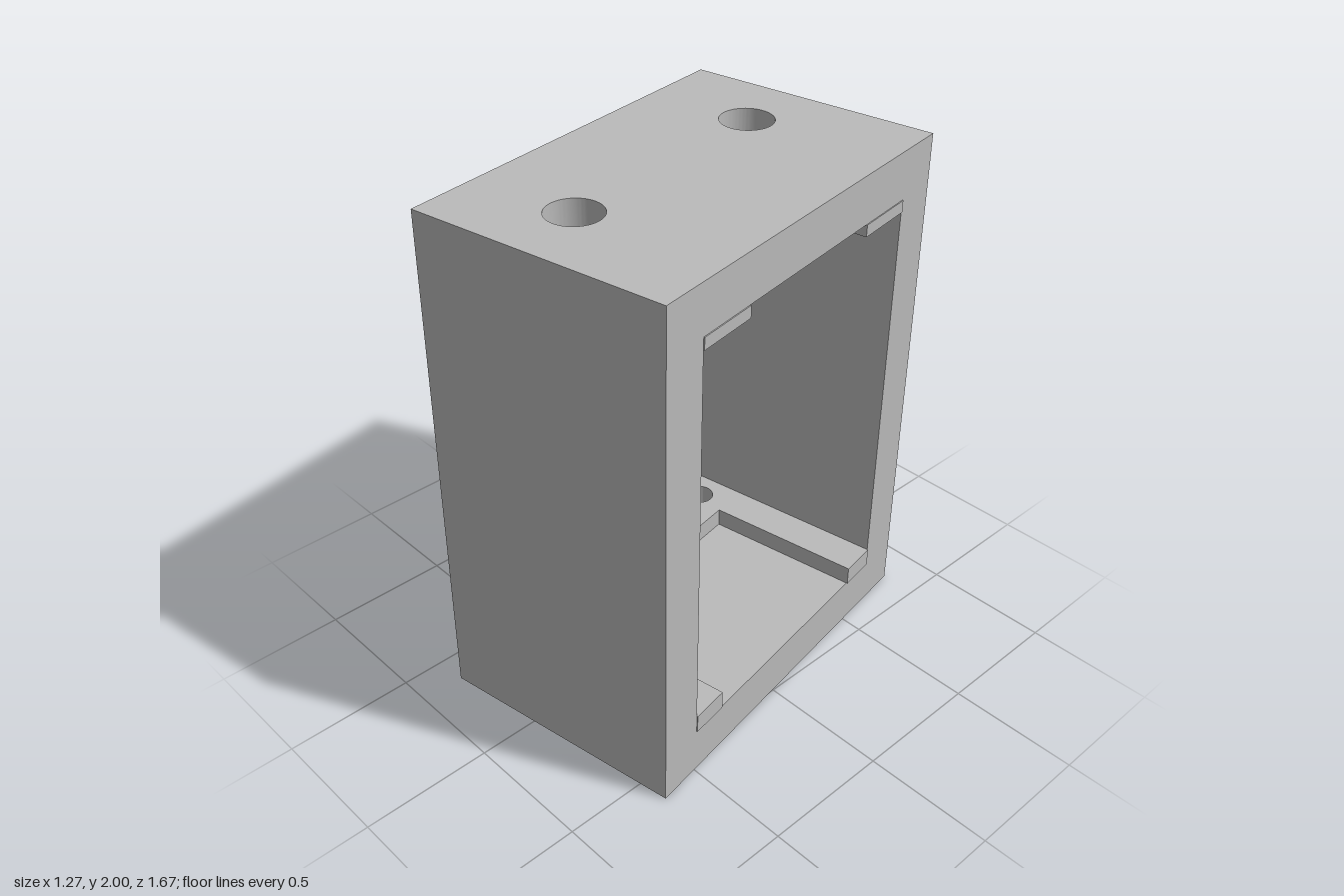
import * as THREE from 'three';
import { toCreasedNormals } from 'three/addons/utils/BufferGeometryUtils.js';

const HX = 0.4975, HY = 0.995, HZ = 0.76;      // half sizes of the housing
const IY = 0.81, IZ = 0.58, BACK = -0.375;     // cavity limits
const SCREW_Z = 0.468, TOP_X = -0.083, BOTTOM_X = -0.26;

export function createModel() {
  const model = new THREE.Group();
  model.name = 'housing';
  const grey = new THREE.MeshStandardMaterial({ color: 0xbababa });
  grey.name = 'grey';

  const body = new THREE.Group();
  body.name = 'body';
  body.position.set(0.0025, 1, 0);
  body.rotation.set(0, 0.171, -0.0095, 'YXZ');
  model.add(body);

  const add = (name, geometry) => {
    const mesh = new THREE.Mesh(geometry, grey);
    mesh.name = name;
    body.add(mesh);
  };

  // Extrude an outline with round holes given as [u, v, radius]
  const extrude = (shape, holes, depth) => {
    for (const [u, v, r] of holes) {
      const hole = new THREE.Path();
      hole.absarc(u, v, r, 0, Math.PI * 2, true);
      shape.holes.push(hole);
    }
    return new THREE.ExtrudeGeometry(shape, { depth, bevelEnabled: false, curveSegments: 48 });
  };
  const rect = (u0, u1, v0, v1) => new THREE.Shape([
    new THREE.Vector2(u0, v0), new THREE.Vector2(u1, v0),
    new THREE.Vector2(u1, v1), new THREE.Vector2(u0, v1)]);

  // Horizontal slab: outline in x and z, between two heights
  const slab = (name, x0, x1, z0, z1, y0, y1, holes = []) => add(name, toCreasedNormals(
    extrude(rect(x0, x1, z0, z1), holes, y1 - y0).rotateX(Math.PI / 2).translate(0, y1, 0), 0.5));

  // Upright plate: outline in z and y, between two x positions
  const upright = (name, shape, x0, x1, holes) => add(name, toCreasedNormals(
    extrude(shape, holes, x1 - x0).rotateY(Math.PI / 2).translate(x0, 0, 0), 0.5));

  const screws = (x, r) => [-1, 1].map((s) => [x, s * SCREW_Z, r]);

  // Top and bottom walls with counterbored screw holes
  const STEP = 0.875;
  slab('topWallOuter', -HX, HX, -HZ, HZ, STEP, HY, screws(TOP_X, 0.1));
  slab('topWallInner', -HX, HX, -HZ, HZ, IY, STEP, screws(TOP_X, 0.056));
  slab('bottomWallOuter', -HX, HX, -HZ, HZ, -HY, -STEP, screws(BOTTOM_X, 0.1));
  slab('bottomWallInner', -HX, HX, -HZ, HZ, -STEP, -IY, screws(BOTTOM_X, 0.056));

  // Side walls and the rails along them
  for (const s of [-1, 1]) {
    const span = (a, b) => (s > 0 ? [a, b] : [-b, -a]);
    slab('sideWall', -HX, HX, ...span(IZ, HZ), -IY, IY);
    slab('topRail', BACK, HX + 0.004, ...span(0.34, IZ), 0.765, IY,
      [[TOP_X, s * SCREW_Z, 0.056]]);
    slab('bottomRail', -0.13, HX + 0.004, ...span(0.43, IZ), -IY, -0.735);
  }
  // Raised ledge at the rear of the cavity floor
  slab('floorLedge', BACK, -0.13, -IZ, IZ, -IY, -0.735, screws(BOTTOM_X, 0.056));

  // Rear wall with a bore and four counterbored bolt holes
  const bolts = (r) => [[0, 0, 0.135],
    ...[0, 1, 2, 3].map((i) => [0.318 * Math.cos(i * Math.PI / 2), 0.318 * Math.sin(i * Math.PI / 2), r])];
  const SEAT = BACK - 0.09;
  upright('rearWallInner', rect(-IZ, IZ, -IY, IY), SEAT, BACK, bolts(0.133));
  upright('rearWallOuter', rect(-IZ, IZ, -IY, IY), -HX, SEAT, bolts(0.08));

  // Round mounting flange on the outside
  const disc = new THREE.Shape();
  disc.absarc(0, 0, 0.4525, 0, Math.PI * 2, false);
  upright('flange', disc, -HX - 0.07, -HX, bolts(0.08));

  return model;
}
